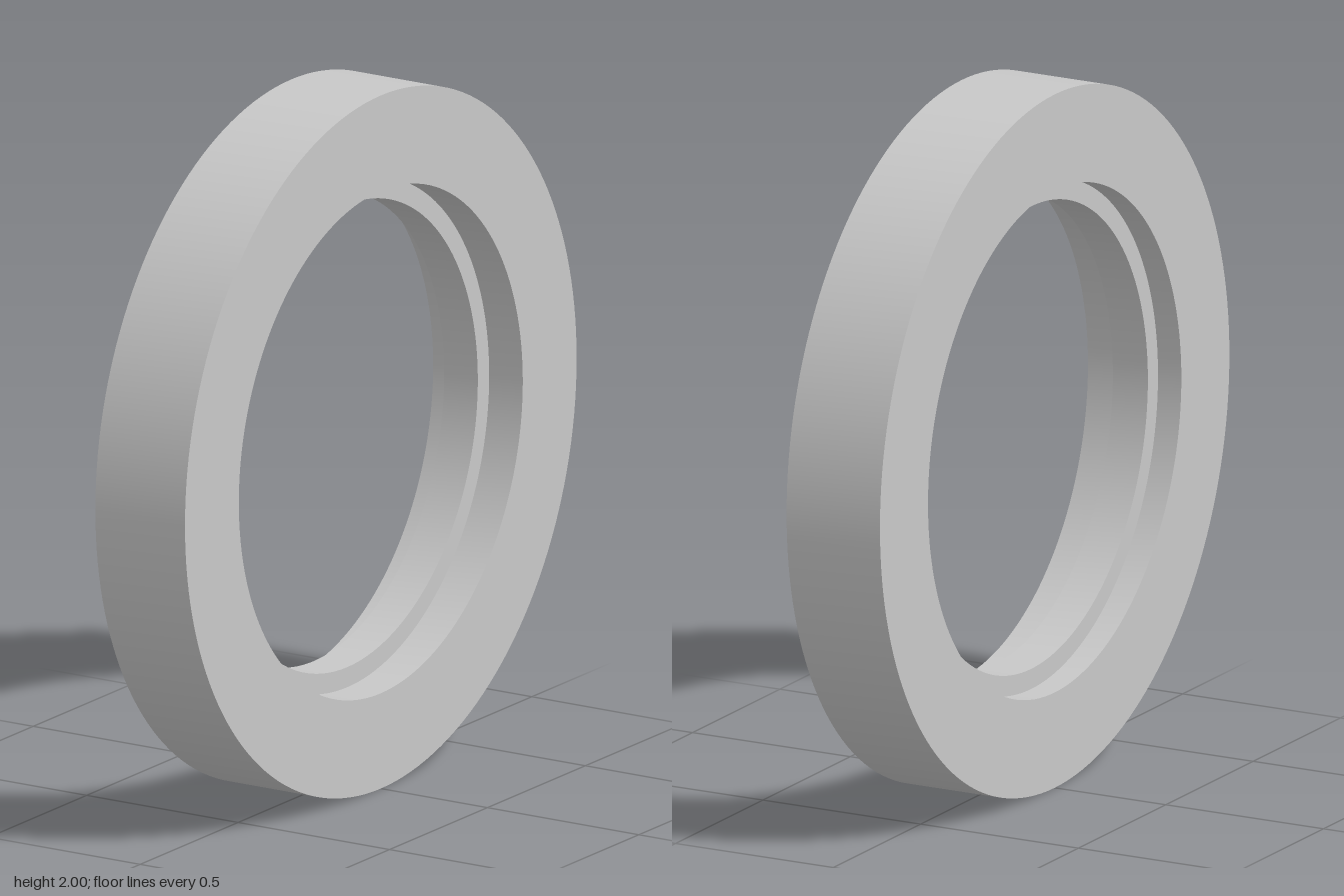
import * as THREE from 'three';
import { toCreasedNormals } from 'three/addons/utils/BufferGeometryUtils.js';

export function createModel() {
  const grey = new THREE.MeshStandardMaterial({ color: 0xc8c8c8 });
  grey.name = 'plain grey';

  const outer = 1, bore = 0.725, lip = 0.667, half = 0.148;
  const lipRight = 0.037, lipLeft = -0.074;

  // Closed cross-section as [radius, position along the axis]
  const profile = [
    [outer, -half], [outer, half],
    [bore, half], [bore, lipRight],
    [lip, lipRight], [lip, lipLeft],
    [bore, lipLeft], [bore, -half],
    [outer, -half],
  ].map(([r, a]) => new THREE.Vector2(r, a));

  // Ring with an off-centre inner lip, its axis turned along x
  const geometry = toCreasedNormals(new THREE.LatheGeometry(profile, 160), Math.PI / 6);
  geometry.rotateZ(-Math.PI / 2);

  const ring = new THREE.Mesh(geometry, grey);
  ring.name = 'steppedRing';
  ring.position.y = outer;

  const model = new THREE.Group();
  model.name = 'ring';
  model.add(ring);
  return model;
}
